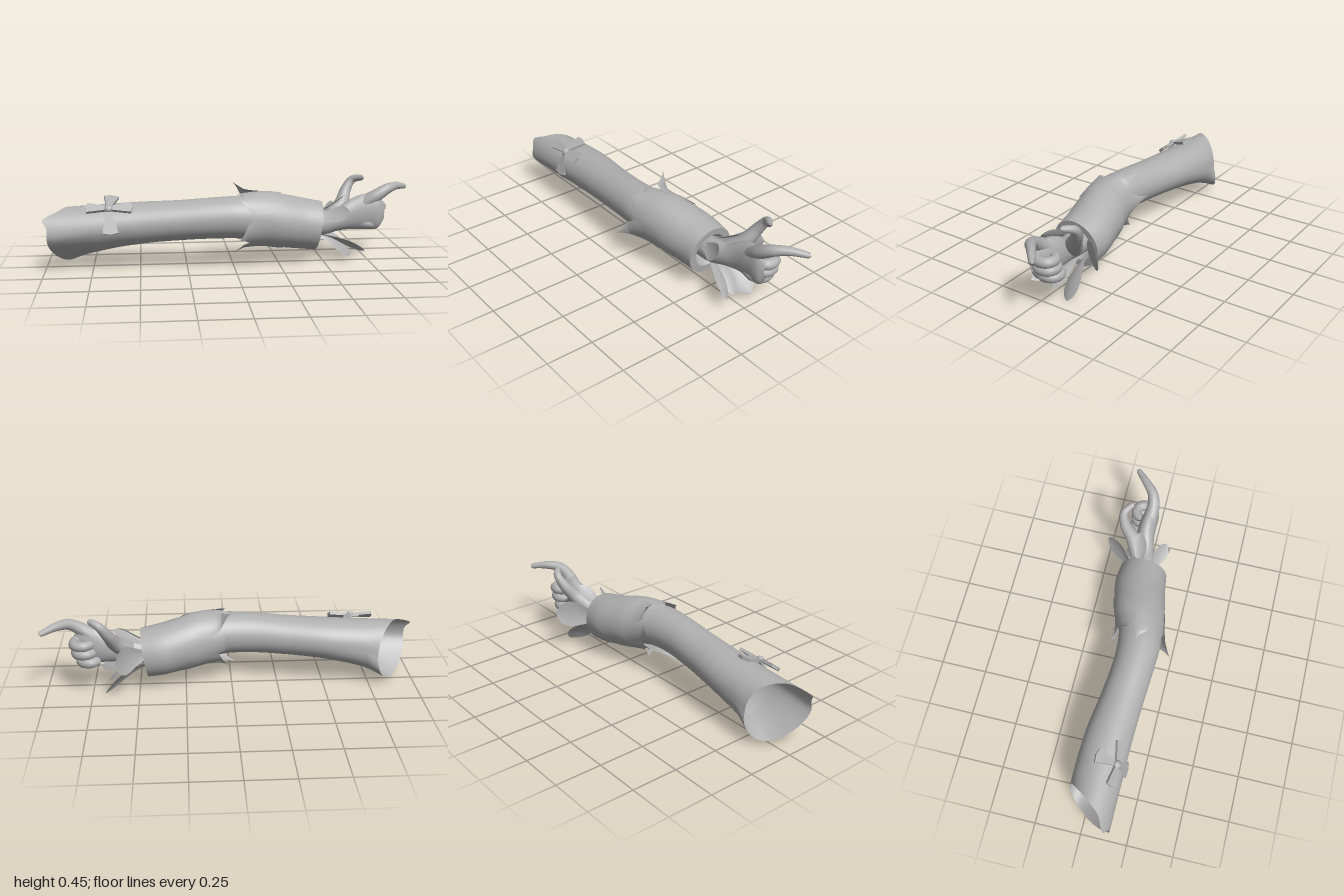
import * as THREE from 'three';

const V = (x, y, z) => new THREE.Vector3(x, y, z);
const cloth = new THREE.MeshStandardMaterial({ color: 0xb0b0b0, side: THREE.DoubleSide });
cloth.name = 'plain grey';

// Indexed surface from a rule p(u, v); closed wraps around in v
function surface(p, nu, nv, closed) {
  const cols = closed ? nv : nv + 1, pos = [], idx = [];
  for (let i = 0; i <= nu; i++)
    for (let j = 0; j < cols; j++) pos.push(...p(i / nu, j / nv).toArray());
  for (let i = 0; i < nu; i++)
    for (let j = 0; j < nv; j++) {
      const k = (j + 1) % cols;
      const a = i * cols + j, b = i * cols + k, c = a + cols, d = b + cols;
      idx.push(a, b, c, b, d, c);
    }
  const g = new THREE.BufferGeometry();
  g.setAttribute('position', new THREE.Float32BufferAttribute(pos, 3));
  g.setIndex(idx);
  g.computeVertexNormals();
  return g;
}

// Smooth skin through elliptical sections [x, centreY, radiusY, centreZ, radiusZ]
function skin(sections) {
  const A = new THREE.CatmullRomCurve3(sections.map(s => V(s[0], s[1], s[2])));
  const B = new THREE.CatmullRomCurve3(sections.map(s => V(s[0], s[3], s[4])));
  return (t, a, scale = 1) => {
    const p = A.getPoint(t), q = B.getPoint(t);
    return V(p.x, p.y + p.z * scale * Math.sin(a), q.y + q.z * scale * Math.cos(a));
  };
}

// Tapered, round-ended tube for fingers
function finger(points, r0, r1) {
  const curve = new THREE.CatmullRomCurve3(points.map(p => V(...p)));
  const N = 48, R = 14, g = new THREE.TubeGeometry(curve, N, 1, R);
  const pos = g.attributes.position, v = V(0, 0, 0), len = curve.getLength();
  for (let i = 0; i <= N; i++) {
    const c = curve.getPointAt(i / N), r = r0 + (r1 - r0) * i / N;
    const e = Math.min(1, (1 - i / N) * len / r);
    const k = r * Math.sqrt(Math.max(0, 1 - (1 - e) ** 2));
    for (let j = 0; j <= R; j++) {
      const n = i * (R + 1) + j;
      v.fromBufferAttribute(pos, n).sub(c).multiplyScalar(k).add(c);
      pos.setXYZ(n, v.x, v.y, v.z);
    }
  }
  return g;
}

// Curved, cupped petal from a base point to a tip
function petal(base, mid, tip, width) {
  const curve = new THREE.QuadraticBezierCurve3(V(...base), V(...mid), V(...tip));
  return surface((u, v) => {
    const p = curve.getPoint(u), t = curve.getTangent(u);
    const out = V(0, p.y - 0.2, p.z + 0.02).normalize();
    const side = t.clone().cross(out).normalize();
    const s = v * 2 - 1, w = width * (0.35 * (1 - u) + Math.sin(Math.PI * u ** 2) ** 0.7 * 0.85);
    return p.addScaledVector(side, s * w).addScaledVector(out, s * s * w * 0.2);
  }, 14, 6, false);
}

export function createModel() {
  const model = new THREE.Group();
  const add = (name, geometry, parent = model) => {
    const m = new THREE.Mesh(geometry, cloth);
    m.name = name;
    parent.add(m);
    return m;
  };
  const turn = v => v * Math.PI * 2;

  // Sleeve with a slanted open shoulder end, skewed towards the back below
  const sleeve = skin([
    [-0.88, 0.175, 0.155, 0.03, 0.13], [-0.72, 0.21, 0.128, 0.03, 0.13],
    [-0.5, 0.238, 0.112, 0.035, 0.125], [-0.3, 0.252, 0.107, 0.054, 0.115],
    [-0.1, 0.264, 0.11, 0.07, 0.111], [0.05, 0.265, 0.115, 0.068, 0.117],
    [0.2, 0.245, 0.125, 0.035, 0.122],
  ]);
  add('sleeve', surface((u, v) => {
    const a = turn(v), p = sleeve(u, a), k = Math.max(0, 1 - u * 6);
    const tip = 0.05 * Math.exp(-(((a - 0.75) / 0.25) ** 2));
    const edge = -0.98 + 0.75 * (0.16 - p.z) - tip;
    p.x += (edge + 0.88) * k;
    const flat = Math.max(0, Math.cos(a + 0.9)) ** 3;
    p.z -= (0.045 * Math.max(0, -Math.sin(a)) + 0.02 * flat) * Math.max(0, 1 - u * 3);
    p.y += 0.02 * flat * k;
    return p;
  }, 48, 48, true));

  // Forearm cuff: outer wall, flat rim and a lining that narrows to the wrist
  const cuff = skin([
    [0.08, 0.256, 0.138, 0.066, 0.124], [0.18, 0.247, 0.145, 0.035, 0.138],
    [0.28, 0.23, 0.145, 0.014, 0.143], [0.38, 0.211, 0.139, -0.006, 0.142],
    [0.48, 0.195, 0.133, -0.01, 0.132],
  ]);
  const cuffAt = (t, a, scale) => {
    const p = cuff(t, a, scale);
    p.x += 0.15 * (p.y - 0.2) * Math.max(0, t - 0.5) * 2 - 0.01 * t;
    return p;
  };
  add('cuff', surface((u, v) => cuffAt(u, turn(v)), 20, 48, true));
  add('cuffRim', surface((u, v) => cuffAt(1, turn(v), 1 - 0.28 * u), 1, 48, true));
  add('cuffLining', surface((u, v) => cuffAt(1 - 0.2 * u, turn(v), 0.72 - 0.32 * u), 4, 48, true));

  // Pointed leaves flaring from the elbow edge of the cuff
  const leaves = [
    [131, 0.0, 0.44, -0.075], [92, 0.0, 0.383, 0.055], [50, 0.02, 0.37, 0.16],
    [-22, 0.01, 0.17, 0.25], [-75, -0.035, 0.07, 0.11], [-130, 0.02, 0.12, -0.04],
    [178, -0.06, 0.29, -0.108],
  ];
  for (const [deg, x, y, z] of leaves) {
    const tip = V(x, y, z), mid = deg * Math.PI / 180;
    add('cuffLeaf', surface((u, v) => {
      const s = v * 2 - 1;
      const w = 0.58 * (u < 0.5 ? Math.sin(u * Math.PI) : 1 - ((u - 0.5) * 2) ** 1.5);
      const t = Math.max(0, 0.5 - u * 0.8);
      const p = cuff(t, mid + s * w, 1.035);
      return p.lerp(tip, Math.max(0, (u - 0.4) / 0.6) ** 1.4);
    }, 16, 8, false));
  }

  // Petals around the wrist
  const petals = [
    [[0.46, 0.21, -0.08], [0.54, 0.215, -0.11], [0.615, 0.23, -0.25], 0.078],
    [[0.46, 0.15, -0.07], [0.58, 0.13, -0.07], [0.685, 0.0, -0.11], 0.066],
    [[0.46, 0.15, -0.01], [0.58, 0.14, 0.01], [0.715, 0.07, 0.09], 0.042],
    [[0.46, 0.24, 0.03], [0.54, 0.25, 0.04], [0.63, 0.285, 0.085], 0.05],
    [[0.46, 0.26, -0.04], [0.54, 0.28, -0.04], [0.63, 0.35, -0.07], 0.04],
    [[0.46, 0.15, -0.04], [0.58, 0.14, -0.02], [0.67, 0.03, -0.005], 0.045],
  ];
  for (const p of petals) add('wristPetal', petal(...p));

  // Wrist and palm
  const hand = skin([
    [0.36, 0.2, 0.06, -0.015, 0.06], [0.5, 0.207, 0.066, -0.015, 0.062],
    [0.58, 0.222, 0.064, -0.03, 0.054], [0.66, 0.248, 0.085, -0.045, 0.05],
    [0.74, 0.26, 0.1, -0.045, 0.048], [0.81, 0.26, 0.094, -0.036, 0.036],
    [0.845, 0.26, 0.04, -0.035, 0.012],
  ]);
  add('hand', surface((u, v) => hand(u, turn(v)), 36, 28, true));

  // Thumb, pointing finger and three curled fingers
  add('thumb', finger([[0.56, 0.235, -0.06], [0.62, 0.295, -0.11], [0.655, 0.365, -0.16],
    [0.695, 0.42, -0.175], [0.75, 0.437, -0.135]], 0.05, 0.015));
  add('indexFinger', finger([[0.73, 0.305, -0.045], [0.8, 0.35, -0.035], [0.86, 0.383, -0.05],
    [0.92, 0.392, -0.1], [1.0, 0.378, -0.17]], 0.042, 0.014));
  [[0.285, 0.01], [0.237, 0], [0.19, -0.025]].forEach(([y, dx]) => {
    add('curledFinger', finger([[0.72, y + 0.01, -0.04], [0.79 + dx, y + 0.005, -0.035],
      [0.822 + dx, y, -0.06], [0.818 + dx, y, -0.11], [0.775 + dx, y, -0.125],
      [0.73 + dx, y, -0.09]], 0.034, 0.025));
  });

  // Ribbon bow of four flared blades around a knot
  const bow = new THREE.Group();
  bow.name = 'bow';
  bow.position.set(-0.66, 0.327, 0.113);
  bow.rotation.x = -0.85;
  model.add(bow);
  const blade = (angle, length, w, droop) => {
    const shape = new THREE.Shape([[0.01, -0.012], [length * 0.92, -w], [length, 0],
      [length * 0.94, w], [0.01, 0.012]].map(p => new THREE.Vector2(...p)));
    const g = new THREE.ExtrudeGeometry(shape, { depth: 0.016, bevelEnabled: false });
    g.rotateY(droop);
    g.rotateZ(angle);
    add('bowBlade', g, bow);
  };
  blade(0.05, 0.125, 0.034, 0);
  blade(Math.PI - 0.05, 0.12, 0.03, 0);
  blade(1.45, 0.12, 0.04, 0.35);
  blade(-1.5, 0.135, 0.042, 0.5);
  const knot = add('bowKnot', new THREE.SphereGeometry(0.022, 16, 10), bow);
  knot.scale.z = 0.7;
  knot.position.z = 0.012;

  return model;
}
